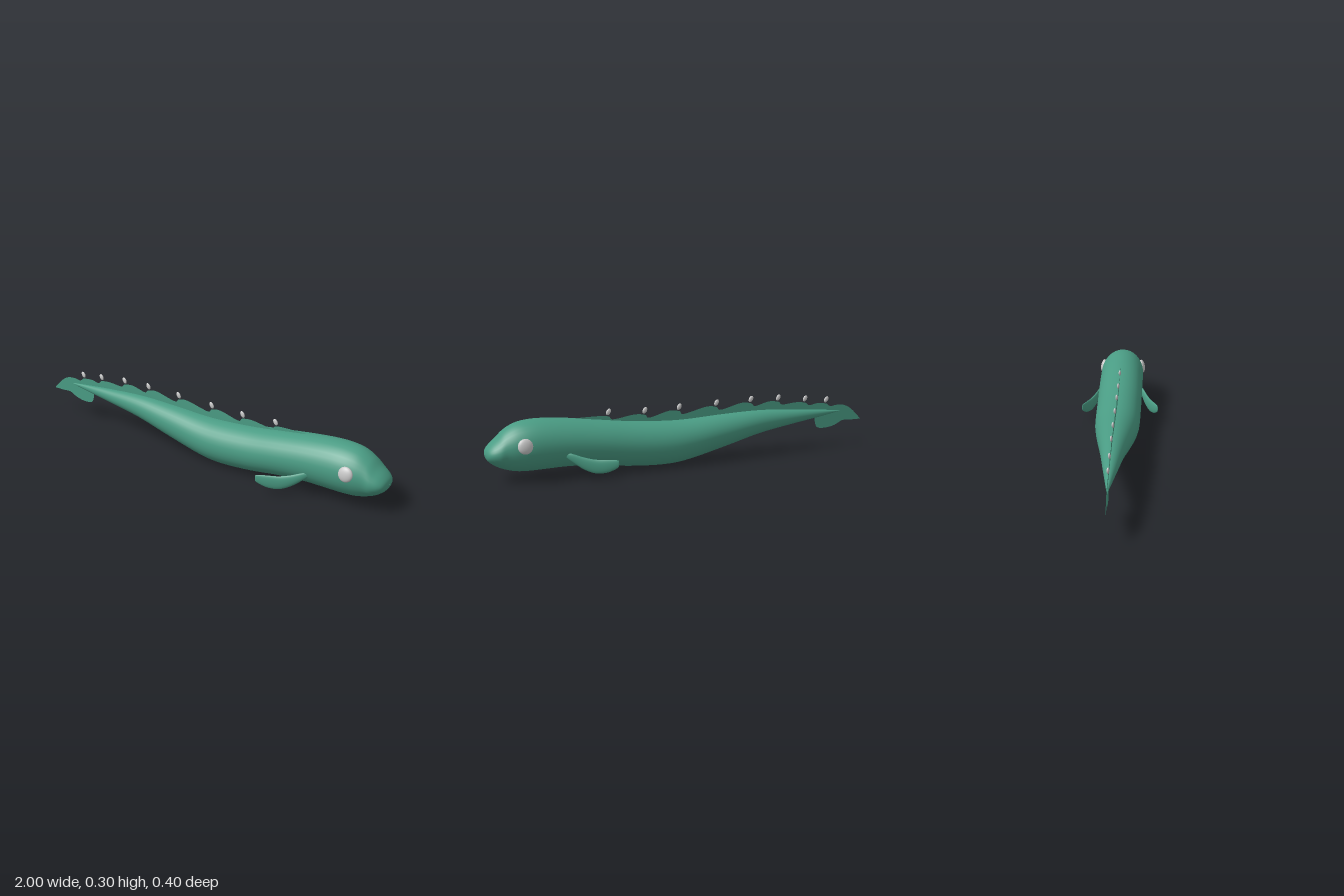
import * as THREE from 'three';

const mat = (name, color, side = THREE.FrontSide) => {
  const m = new THREE.MeshStandardMaterial({ color, side });
  m.name = name;
  return m;
};

// Smooth skin through elliptical sections: [x, bottom, top, half width, centre z]
function loft(rows, steps, sides) {
  const column = (k) => new THREE.SplineCurve(rows.map((r) => new THREE.Vector2(r[0], r[k] ?? 0)));
  const curves = [1, 2, 3, 4].map(column);
  const pos = [], index = [];
  for (let i = 0; i <= steps; i++) {
    const p = curves.map((c) => c.getPoint(i / steps));
    const [bottom, top, width, cz] = p.map((v) => v.y);
    for (let j = 0; j < sides; j++) {
      const a = (j / sides) * Math.PI * 2;
      pos.push(p[0].x, (top + bottom) / 2 + (Math.sin(a) * (top - bottom)) / 2, cz + Math.cos(a) * Math.max(width, 0));
      if (i < steps) {
        const n = (j + 1) % sides, b = i * sides, c = b + sides;
        index.push(b + j, c + j, b + n, c + j, c + n, b + n);
      }
    }
  }
  const g = new THREE.BufferGeometry();
  g.setAttribute('position', new THREE.Float32BufferAttribute(pos, 3));
  g.setIndex(index);
  g.computeVertexNormals();
  return g;
}

export function createModel() {
  const model = new THREE.Group();
  model.name = 'eel';
  const green = mat('sea green', 0x4a9c84, THREE.DoubleSide);
  const grey = mat('pale grey', 0xc8c8c8);
  const add = (name, geometry, material) => {
    const mesh = new THREE.Mesh(geometry, material);
    mesh.name = name;
    model.add(mesh);
    return mesh;
  };

  // Body and blunt head
  add('body', loft([
    [-0.87, 0.182, 0.186, 0.002], [-0.75, 0.162, 0.199, 0.016], [-0.6, 0.141, 0.213, 0.034],
    [-0.4, 0.109, 0.226, 0.057], [-0.2, 0.06, 0.223, 0.081], [0, 0.015, 0.215, 0.103],
    [0.13, 0.003, 0.218, 0.112], [0.3, 0.013, 0.232, 0.114], [0.45, 0.033, 0.252, 0.115],
    [0.6, 0.044, 0.272, 0.115], [0.72, 0.043, 0.283, 0.115], [0.8, 0.042, 0.282, 0.113],
    [0.86, 0.046, 0.27, 0.104], [0.91, 0.059, 0.242, 0.092], [0.945, 0.074, 0.208, 0.086],
    [0.975, 0.093, 0.182, 0.07], [0.993, 0.112, 0.16, 0.045], [1, 0.136, 0.138, 0.001],
  ], 102, 32), green);

  // Flat back fin: a scallop in front of every spine, running into the tail
  const spines = [[0.4, 0.285], [0.215, 0.277], [0.035, 0.28], [-0.165, 0.284],
    [-0.355, 0.287], [-0.51, 0.282], [-0.665, 0.265], [-0.79, 0.25]];
  const v = (x, y) => new THREE.Vector2(x, y);
  const edge = [];
  for (const [x, y] of spines) {
    edge.push(v(x + 0.055, y - 0.016), v(x, y - 0.022), v(x - 0.025, y - 0.038));
  }
  const fin = new THREE.Shape();
  fin.moveTo(0.62, 0.268);
  fin.splineThru([...edge, v(-0.85, 0.216), v(-0.9, 0.211), v(-0.945, 0.185), v(-1, 0.13)]);
  fin.splineThru([v(-0.94, 0.13), v(-0.89, 0.131), v(-0.84, 0.109), v(-0.78, 0.1),
    v(-0.735, 0.112), v(-0.72, 0.17)]);
  fin.lineTo(-0.4, 0.17);
  fin.lineTo(0, 0.13);
  fin.lineTo(0.5, 0.2);
  add('backFin', new THREE.ShapeGeometry(fin, 10), green);

  // Small spines leaning back along the fin
  const ball = new THREE.SphereGeometry(1, 20, 14);
  for (const [x, y] of spines) {
    const spine = add('spine', ball, grey);
    spine.position.set(x, y, 0);
    spine.scale.set(0.011, 0.017, 0.006);
    spine.rotation.z = 0.5;
  }

  // Paired eyes and swept paddle fins
  const paddle = [[0.42, 0.074, 0.092], [0.427, 0.06, 0.098], [0.47, 0.039, 0.1],
    [0.52, 0.035, 0.101], [0.57, 0.054, 0.112], [0.62, 0.09, 0.129], [0.645, 0.112, 0.13]];
  const half = [0.001, 0.005, 0.009, 0.01, 0.01, 0.008, 0.003];
  for (const s of [1, -1]) {
    const name = s > 0 ? 'front' : 'back';
    const eye = add(name + 'Eye', ball, grey);
    eye.position.set(0.835, 0.182, s * 0.107);
    eye.scale.set(0.036, 0.036, 0.016);
    eye.rotation.x = -s * 0.17;
    add(name + 'PaddleFin', loft(paddle.map(([x, b, t], i) =>
      [x, b, t, half[i], s * (0.102 + (0.645 - x) * 0.43)]), 36, 20), green);
  }
  return model;
}
